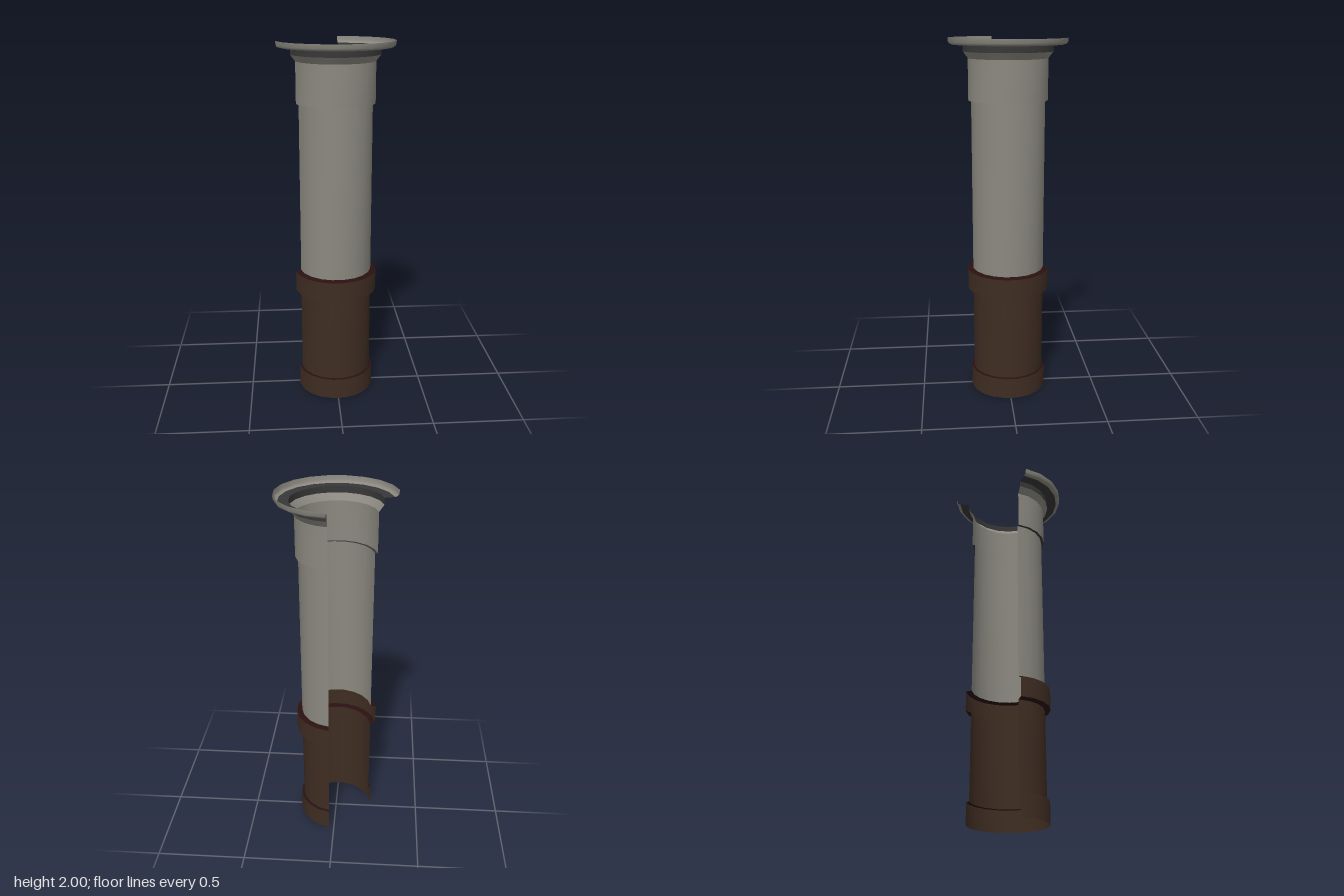
import * as THREE from 'three';

const SEGMENTS = 14;          // 14 of 20 sides: the column is broken open
const STEP = Math.PI / 10;
const RADIUS = 0.2;

// Direction around the column, starting at the back and turning towards +x
const dir = (a) => [Math.sin(a), -Math.cos(a)];

// Sweep a profile of [outward offset, height] points around the open arc
function sweep(profile) {
  const positions = [], index = [], n = profile.length;
  for (let k = 0; k <= SEGMENTS; k++) {
    const [px, pz] = dir((k + 0.5) * STEP);
    const [nx, nz] = dir(k * STEP);
    for (const [d, y] of profile) {
      positions.push(px * RADIUS + nx * d - 0.003, y, pz * RADIUS + nz * d);
    }
  }
  for (let k = 0; k < SEGMENTS; k++) {
    for (let i = 0; i < n - 1; i++) {
      const a = k * n + i, b = a + n;
      index.push(a, a + 1, b, b, a + 1, b + 1);
    }
  }
  const geometry = new THREE.BufferGeometry();
  geometry.setAttribute('position', new THREE.Float32BufferAttribute(positions, 3));
  geometry.setIndex(index);
  geometry.computeVertexNormals();
  return geometry;
}

function material(name, color) {
  const m = new THREE.MeshStandardMaterial({ color, side: THREE.DoubleSide });
  m.name = name;
  return m;
}

export function createModel() {
  const stone = material('warm grey stone', 0x8b8980);
  const shade = material('dark grey', 0x383838);
  const brown = material('dark brown', 0x3f2d22);
  const maroon = material('dark maroon', 0x2a1011);

  const parts = [
    // Brown lower half with its two raised bands
    ['baseBand', brown, [[0.015, 0], [0.015, 0.12]]],
    ['baseLedge', maroon, [[0.015, 0.12], [0, 0.122]]],
    ['lowerShaft', brown, [[0, 0.122], [0, 0.605]]],
    ['middleBandUnderside', maroon, [[0, 0.605], [0.03, 0.613]]],
    ['middleBand', brown, [[0.03, 0.613], [0.03, 0.725]]],
    ['middleBandLedge', maroon, [[0.03, 0.725], [0, 0.732]]],
    // Grey upper half
    ['upperShaft', stone, [[0, 0.732], [0, 1.675]]],
    ['collarUnderside', shade, [[0, 1.675], [0.015, 1.675]]],
    ['collar', stone, [[0.015, 1.675], [0.015, 1.895]]],
    // Flared capital
    ['capitalFlare', stone, [[0.015, 1.895], [0.042, 1.93]]],
    ['capitalNeck', shade, [[0.042, 1.93], [0.042, 1.965]]],
    ['capitalPlate', shade, [[0.042, 1.965], [0.097, 1.965]]],
    ['capitalRim', stone, [[0.097, 1.965], [0.111, 1.969], [0.118, 1.978], [0.12, 2]]],
  ];

  const group = new THREE.Group();
  group.name = 'brokenColumn';
  for (const [name, mat, profile] of parts) {
    const mesh = new THREE.Mesh(sweep(profile), mat);
    mesh.name = name;
    group.add(mesh);
  }
  return group;
}
